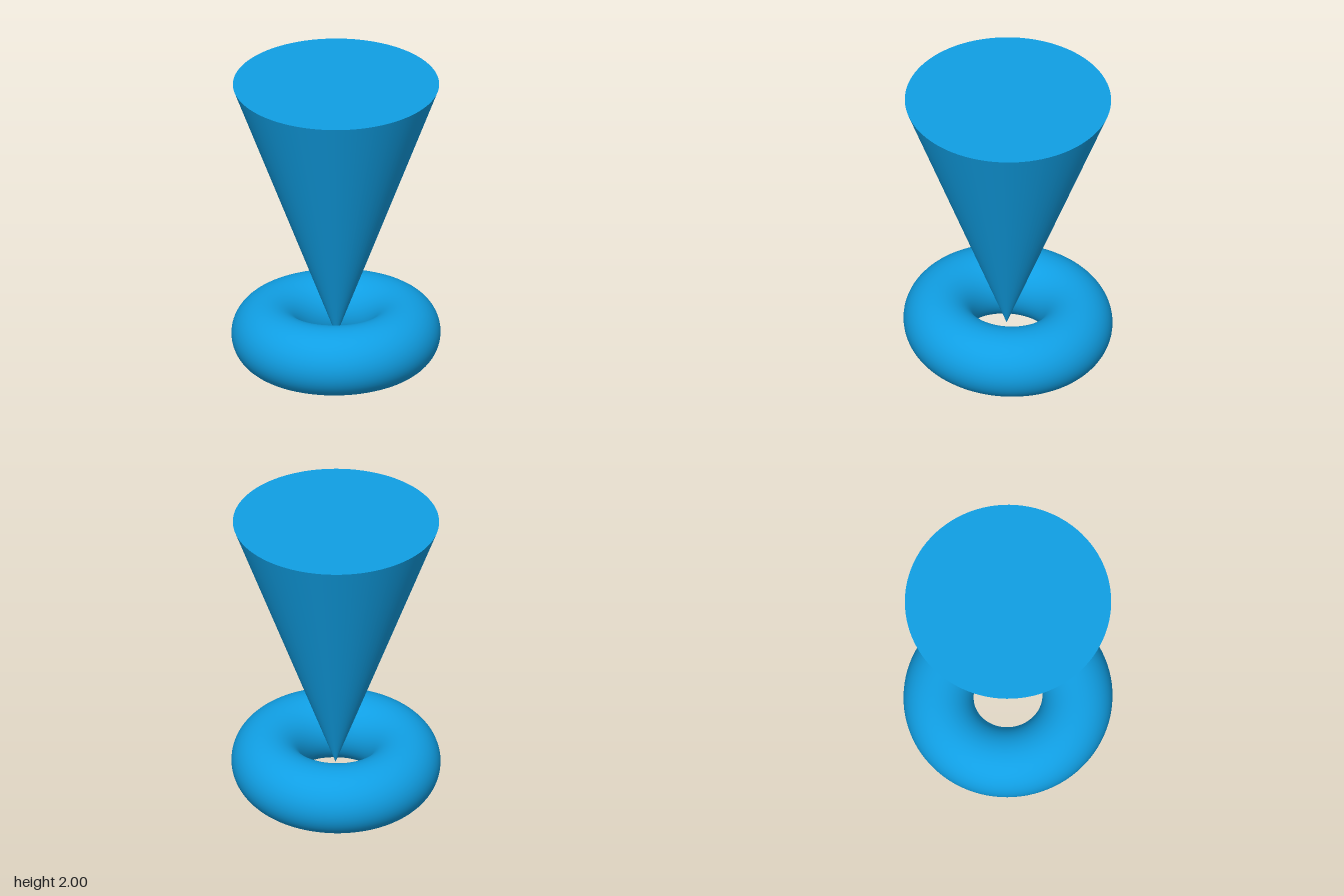
import * as THREE from 'three';

export function createModel() {
  const model = new THREE.Group();
  const blue = new THREE.MeshStandardMaterial({ color: 0x109fe4 });
  blue.name = 'blue';

  // Ring base, leaning slightly so its front is higher
  const tube = 0.222;
  const ring = new THREE.Mesh(
    new THREE.TorusGeometry(0.44, tube, 48, 96).rotateX(Math.PI / 2), blue);
  ring.name = 'ringBase';
  ring.rotation.x = -0.046;
  ring.position.y = 0.243;
  model.add(ring);

  // Upside-down cone with a flat lid, its tip resting in the ring's hole
  const height = 1.77;
  const cone = new THREE.Mesh(
    new THREE.ConeGeometry(0.653, height, 96).rotateX(Math.PI).translate(0, height / 2, 0), blue);
  cone.name = 'invertedCone';
  cone.rotation.x = -0.005;
  cone.position.set(0, 0.227, 0.009);
  model.add(cone);

  return model;
}
